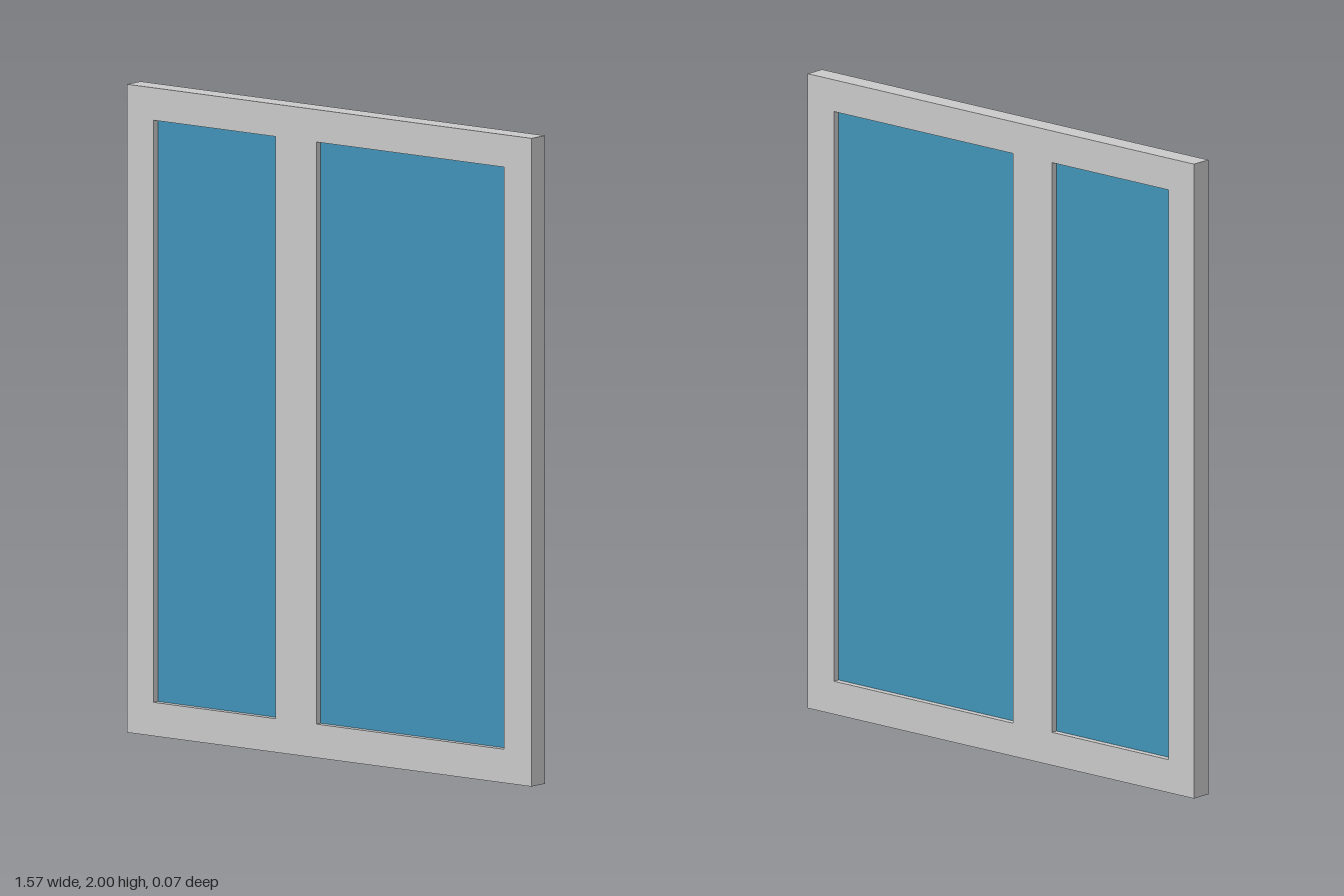
import * as THREE from 'three';

const WIDTH = 1.574, HEIGHT = 2, DEPTH = 0.066;
const SILL = 0.104, HEAD = 1.9;
const GLASS_DEPTH = 0.024;
// left and right edges of each opening
const OPENINGS = [
  { name: 'narrowPane', x0: -0.684, x1: -0.209 },
  { name: 'widePane', x0: -0.05, x1: 0.68 },
];

function rectangle(target, x0, y0, x1, y1) {
  target.moveTo(x0, y0);
  target.lineTo(x1, y0);
  target.lineTo(x1, y1);
  target.lineTo(x0, y1);
  target.closePath();
  return target;
}

export function createModel() {
  const frameGrey = new THREE.MeshStandardMaterial({ name: 'frameGrey', color: 0xc9c9c9 });
  const glassBlue = new THREE.MeshStandardMaterial({ name: 'glassBlue', color: 0x4092b7 });
  const model = new THREE.Group();
  model.name = 'window';

  // frame: one slab with two openings, divided by an off-centre mullion
  const outline = rectangle(new THREE.Shape(), -WIDTH / 2, 0, WIDTH / 2, HEIGHT);
  for (const o of OPENINGS) {
    outline.holes.push(rectangle(new THREE.Path(), o.x0, SILL, o.x1, HEAD));
  }
  const frameGeometry = new THREE.ExtrudeGeometry(outline, { depth: DEPTH, bevelEnabled: false });
  frameGeometry.translate(0, 0, -DEPTH / 2);
  const frame = new THREE.Mesh(frameGeometry, frameGrey);
  frame.name = 'frame';
  model.add(frame);

  // glass panes, recessed on both faces
  for (const o of OPENINGS) {
    const pane = new THREE.Mesh(
      new THREE.BoxGeometry(o.x1 - o.x0, HEAD - SILL, GLASS_DEPTH), glassBlue);
    pane.name = o.name;
    pane.position.set((o.x0 + o.x1) / 2, (SILL + HEAD) / 2, 0);
    model.add(pane);
  }
  return model;
}
